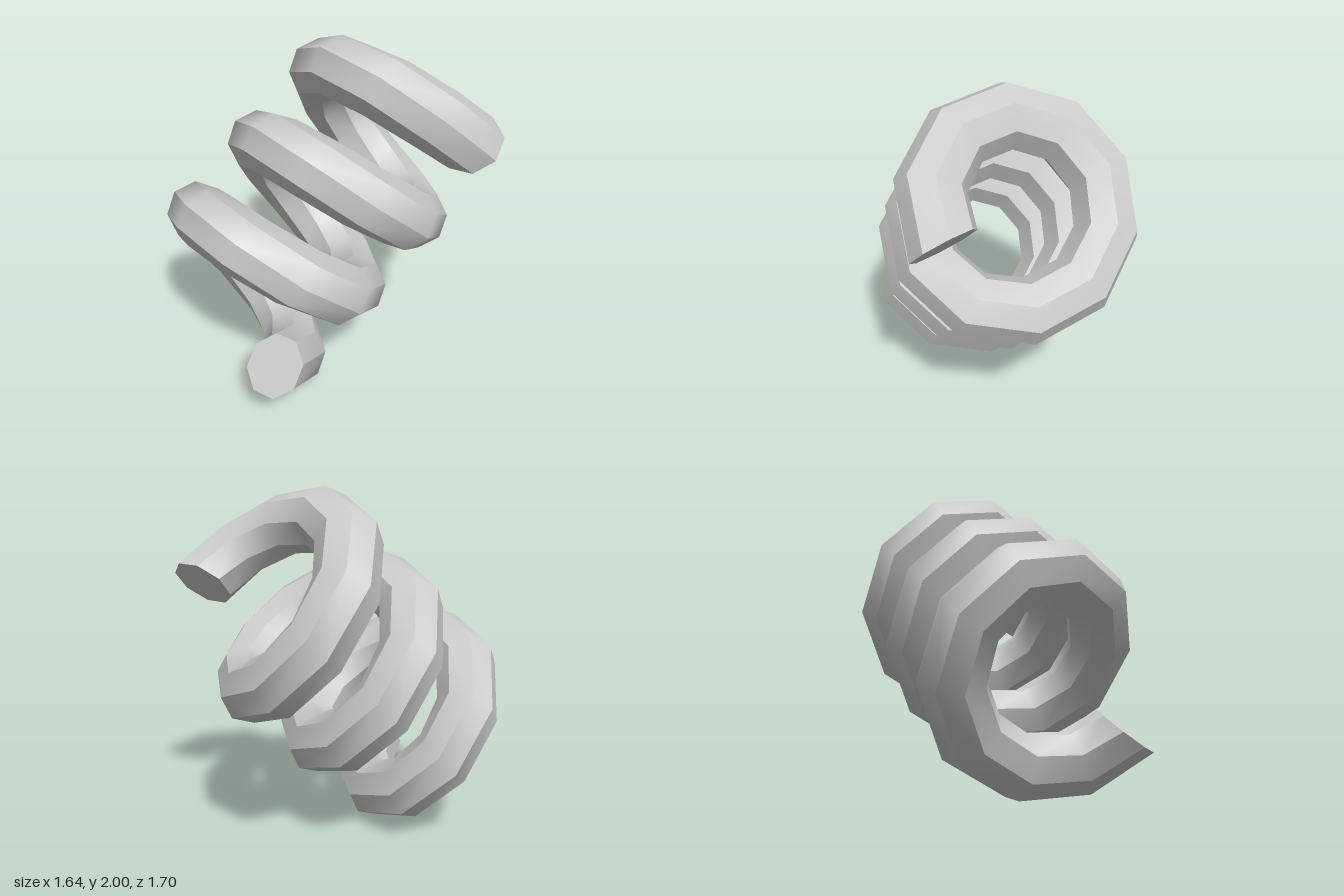
import * as THREE from 'three';
import { mergeVertices } from 'three/addons/utils/BufferGeometryUtils.js';

const TURNS = 3, STEPS = 10, SIDES = 8;
const COIL_R = 0.492, TUBE_R = 0.18;

// Tilted screw axis: advance per turn, and the two directions of the coil's circle
const pitch = new THREE.Vector3(0.365, 0.365, 0.17);
const axis = pitch.clone().normalize();
const tangent = new THREE.Vector3(1, -1, 0).normalize();
const radial = tangent.clone().cross(axis);
const origin = new THREE.Vector3(-0.574, 0.474, -0.298);

// Corner j of the octagon after i screw steps
function corner(i, j) {
  const a = (i / STEPS) * Math.PI * 2, b = (j / SIDES) * Math.PI * 2;
  const r = COIL_R + TUBE_R * Math.cos(b);
  return origin.clone()
    .addScaledVector(pitch, i / STEPS)
    .addScaledVector(radial, r * Math.cos(a))
    .addScaledVector(tangent, r * Math.sin(a))
    .addScaledVector(axis, TUBE_R * Math.sin(b));
}

function makeMesh(points, index, name, material) {
  const geometry = new THREE.BufferGeometry().setFromPoints(points);
  geometry.setIndex(index);
  const merged = mergeVertices(geometry);
  merged.computeVertexNormals();
  const mesh = new THREE.Mesh(merged, material);
  mesh.name = name;
  return mesh;
}

export function createModel() {
  const group = new THREE.Group();
  group.name = 'coilSpring';
  const material = new THREE.MeshStandardMaterial({ color: 0xcccccc });
  const count = TURNS * STEPS;

  // Coil: one strip per octagon side, smooth along its length, sharp between strips
  const coil = new THREE.Group();
  coil.name = 'coil';
  for (let j = 0; j < SIDES; j++) {
    const points = [], index = [];
    for (let i = 0; i <= count; i++) {
      points.push(corner(i, j), corner(i, j + 1));
      const k = i * 2;
      if (i < count) index.push(k, k + 2, k + 3, k, k + 3, k + 1);
    }
    coil.add(makeMesh(points, index, 'coilSide', material));
  }
  group.add(coil);

  // Flat octagonal ends
  for (const [step, name] of [[0, 'lowerEnd'], [count, 'upperEnd']]) {
    const points = [], index = [];
    for (let j = 0; j < SIDES; j++) points.push(corner(step, j));
    for (let j = 1; j < SIDES - 1; j++) index.push(0, ...(step ? [j + 1, j] : [j, j + 1]));
    group.add(makeMesh(points, index, name, material));
  }

  // Centre on x and z, stand on y = 0
  const box = new THREE.Box3().setFromObject(group);
  const centre = box.getCenter(new THREE.Vector3());
  group.position.set(-centre.x, -box.min.y, -centre.z);
  return group;
}
